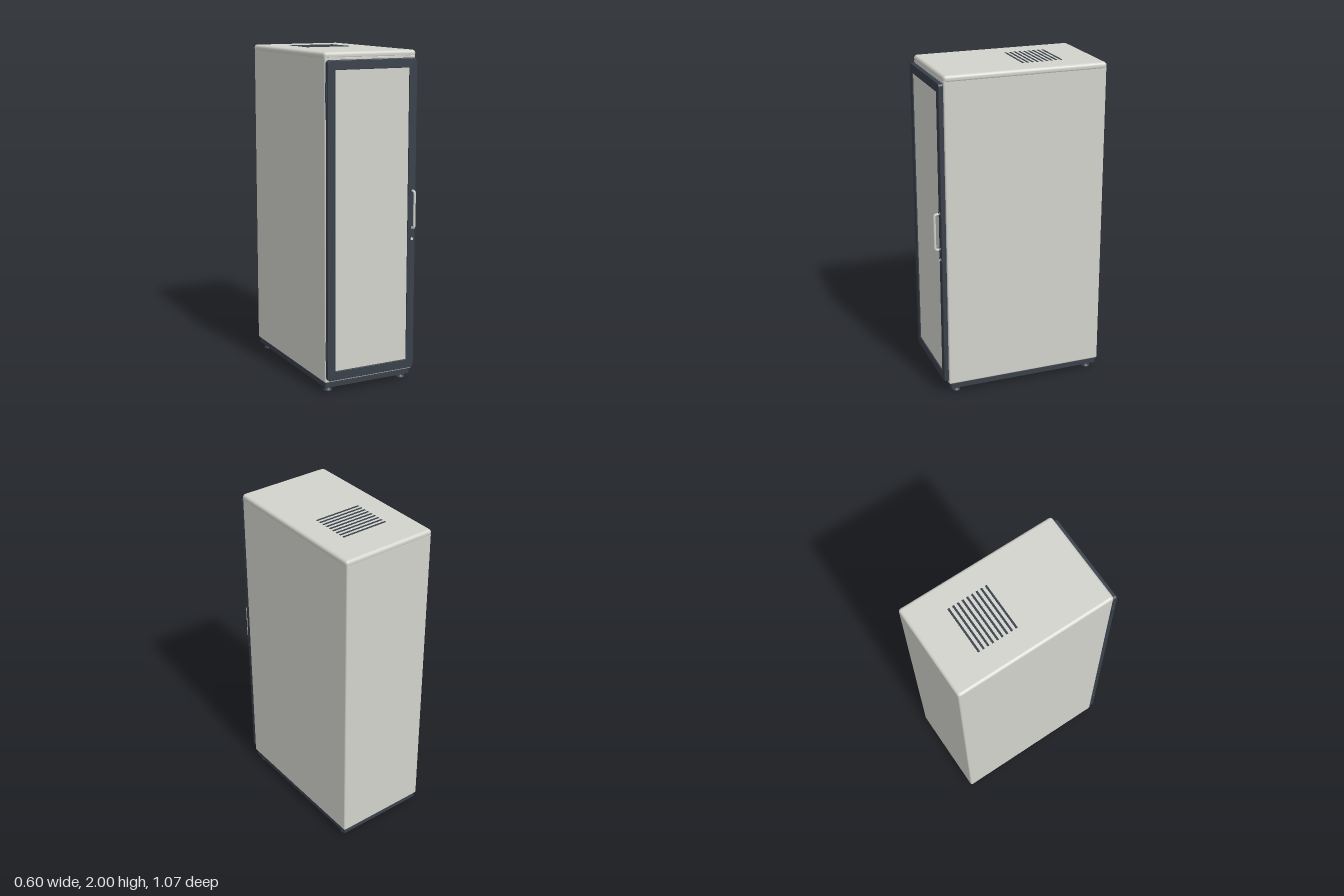
import * as THREE from 'three';
import { RoundedBoxGeometry } from 'three/addons/geometries/RoundedBoxGeometry.js';

const mat = (name, color) => {
  const m = new THREE.MeshStandardMaterial({ color });
  m.name = name;
  return m;
};

export function createModel() {
  const root = new THREE.Group();
  root.name = 'cabinet';
  const shell = mat('warmGrey', 0xd2d3cc);
  const dark = mat('darkSlate', 0x39404a);
  const metal = mat('brightMetal', 0xd2d4d4);

  const add = (name, geometry, material, x, y, z) => {
    const mesh = new THREE.Mesh(geometry, material);
    mesh.name = name;
    mesh.position.set(x, y, z);
    root.add(mesh);
    return mesh;
  };
  const rounded = (w, h, d, r) => new RoundedBoxGeometry(w, h, d, 3, r);

  // Cabinet shell, lid and plinth
  add('body', rounded(0.59, 1.91, 0.996, 0.01), shell, 0, 1.02, -0.032);
  add('lid', rounded(0.596, 0.042, 0.998, 0.018), shell, 0, 1.979, -0.032);
  add('plinth', new THREE.BoxGeometry(0.57, 0.036, 0.97), dark, 0, 0.048, -0.034);

  // Levelling feet
  const foot = new THREE.LatheGeometry(
    [[0, 0], [0.025, 0], [0.025, 0.008], [0.011, 0.013], [0.011, 0.032]].map(p => new THREE.Vector2(...p)), 20);
  for (const x of [-0.25, 0.25])
    for (const z of [-0.47, 0.41]) add('foot', foot, dark, x, 0, z);

  // Door frame: rounded outline with a rectangular opening
  const x0 = -0.291, x1 = 0.289, y0 = 0.084, y1 = 1.956, r = 0.018;
  const outline = new THREE.Shape();
  outline.absarc(x1 - r, y1 - r, r, 0, Math.PI / 2);
  outline.absarc(x0 + r, y1 - r, r, Math.PI / 2, Math.PI);
  outline.absarc(x0 + r, y0 + r, r, Math.PI, Math.PI * 1.5);
  outline.absarc(x1 - r, y0 + r, r, Math.PI * 1.5, Math.PI * 2);
  outline.closePath();
  const hole = new THREE.Path();
  hole.moveTo(-0.241, 0.14).lineTo(-0.241, 1.901).lineTo(0.239, 1.901).lineTo(0.239, 0.14).closePath();
  outline.holes.push(hole);
  const frame = new THREE.ExtrudeGeometry(outline, {
    depth: 0.022, bevelEnabled: true, bevelThickness: 0.003, bevelSize: 0.003, bevelOffset: -0.003,
    bevelSegments: 2, curveSegments: 6,
  });
  add('doorFrame', frame, dark, 0, 0, 0.47);
  add('doorPanel', new THREE.BoxGeometry(0.484, 1.766, 0.016), shell, -0.001, 1.0205, 0.48);

  // Hinges on the right edge of the door
  for (const y of [0.265, 1.775])
    add('hinge', new THREE.CylinderGeometry(0.009, 0.009, 0.11, 14), dark, -0.29, y, 0.478);

  // Bent bar handle with dark mounts
  const hx = 0.263, zIn = 0.494, zOut = 0.528, ya = 0.958, yb = 1.18, c = 0.016;
  const v = (y, z) => new THREE.Vector3(0, y, z);
  const path = new THREE.CurvePath();
  path.add(new THREE.LineCurve3(v(ya, zIn), v(ya, zOut - c)));
  path.add(new THREE.QuadraticBezierCurve3(v(ya, zOut - c), v(ya, zOut), v(ya + c, zOut)));
  path.add(new THREE.LineCurve3(v(ya + c, zOut), v(yb - c, zOut)));
  path.add(new THREE.QuadraticBezierCurve3(v(yb - c, zOut), v(yb, zOut), v(yb, zOut - c)));
  path.add(new THREE.LineCurve3(v(yb, zOut - c), v(yb, zIn)));
  add('handle', new THREE.TubeGeometry(path, 90, 0.0075, 10), metal, hx, 0, 0);
  const disc = (radius, depth) => new THREE.CylinderGeometry(radius, radius, depth, 20).rotateX(Math.PI / 2);
  for (const y of [ya, yb]) add('handleMount', disc(0.013, 0.008), dark, hx, y, 0.499);

  // Key lock
  add('lockRim', disc(0.014, 0.008), dark, hx, 0.89, 0.499);
  add('lockBarrel', disc(0.009, 0.009), metal, hx, 0.89, 0.501);

  // Ventilation slots in the lid
  for (let i = 0; i < 9; i++)
    add('ventSlot', new THREE.BoxGeometry(0.298, 0.004, 0.012), dark, 0, 1.9995, -0.305 + i * 0.03);

  return root;
}
